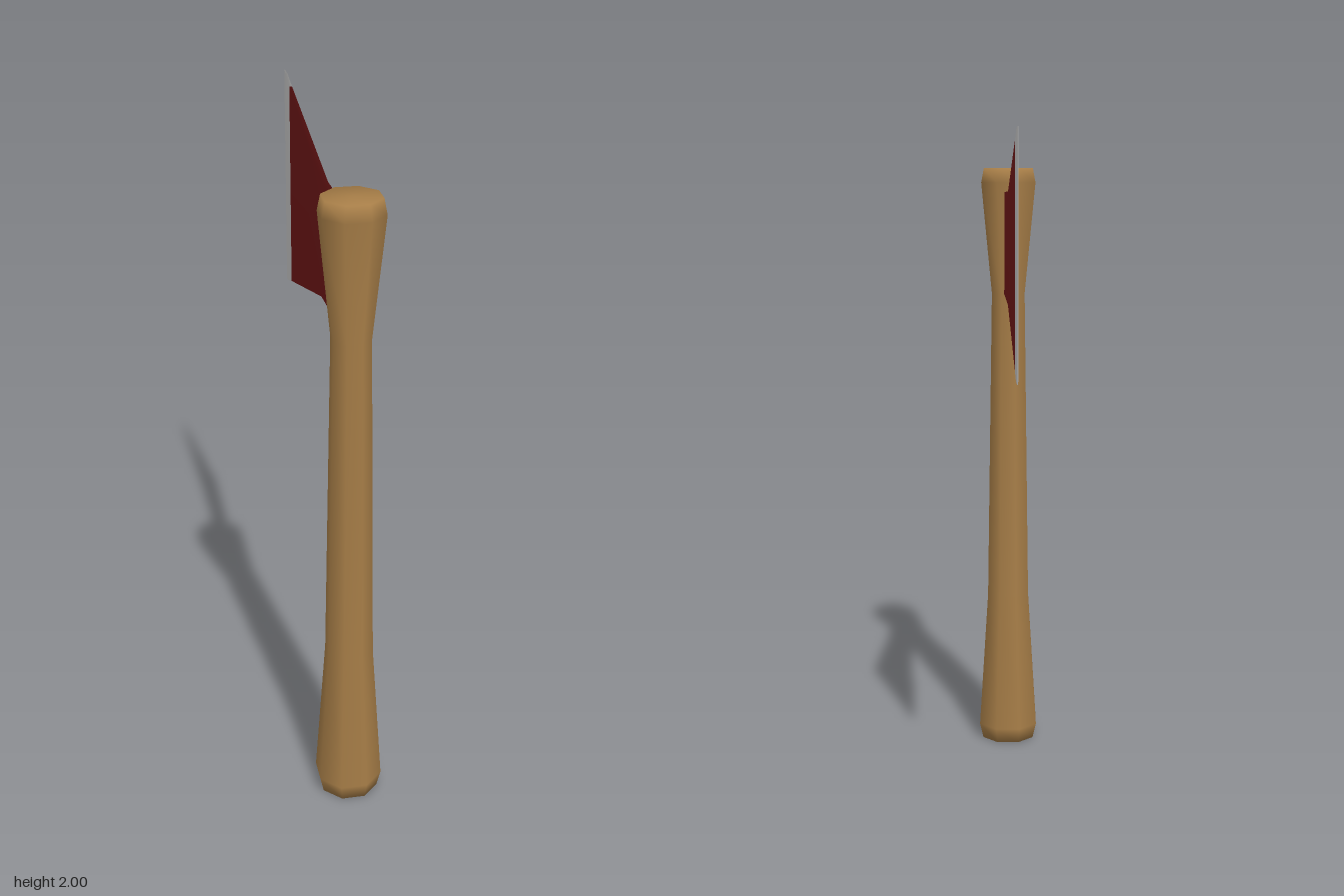
import * as THREE from 'three';

// Loft of rectangular sections [distance, bottom, top, half thickness] along +x
function loft(sections) {
  const pos = [], idx = [];
  for (const [x, lo, hi, t] of sections) pos.push(x, lo, -t, x, hi, -t, x, hi, t, x, lo, t);
  for (let s = 0; s < sections.length - 1; s++) {
    for (let i = 0; i < 4; i++) {
      const a = s * 4 + i, b = s * 4 + (i + 1) % 4;
      idx.push(a, b, b + 4, a, b + 4, a + 4);
    }
  }
  const e = (sections.length - 1) * 4;
  idx.push(0, 2, 1, 0, 3, 2, e, e + 1, e + 2, e, e + 2, e + 3);
  const g = new THREE.BufferGeometry();
  g.setAttribute('position', new THREE.Float32BufferAttribute(pos, 3));
  g.setIndex(idx);
  g.computeVertexNormals();
  return g;
}

function part(name, geometry, color) {
  const mesh = new THREE.Mesh(geometry, new THREE.MeshStandardMaterial({ color }));
  mesh.name = name;
  return mesh;
}

export function createModel() {
  const axe = new THREE.Group();
  axe.name = 'axe';
  axe.position.set(0.135, 0, 0.364);

  // Eight-sided wooden handle, flared at both ends
  const profile = [[0, 0], [0.09, 0], [0.102, 0.05], [0.072, 0.5], [0.057, 1.5], [0.093, 1.85], [0.084, 1.895], [0, 1.895]];
  axe.add(part('handle', new THREE.LatheGeometry(profile.map(([r, y]) => new THREE.Vector2(r, y)), 8), 0xa67d47));

  // Head, swung out from the handle toward the back
  const head = new THREE.Group();
  head.name = 'head';
  head.rotation.y = Math.atan2(0.912, -0.409);
  head.add(part('blade', loft([
    [0.0, 1.5, 1.82, 0.015],
    [0.08, 1.498, 1.821, 0.014],
    [0.334, 1.488, 1.826, 0.01],
    [0.817, 1.35, 1.972, 0.004],
  ]), 0x721818));
  head.add(part('cuttingEdge', loft([
    [0.817, 1.35, 1.972, 0.004],
    [0.882, 1.328, 1.996, 0.003],
    [0.911, 1.324, 2.0, 0.001],
  ]), 0xcccccc));
  axe.add(head);

  const model = new THREE.Group();
  model.add(axe);
  return model;
}
